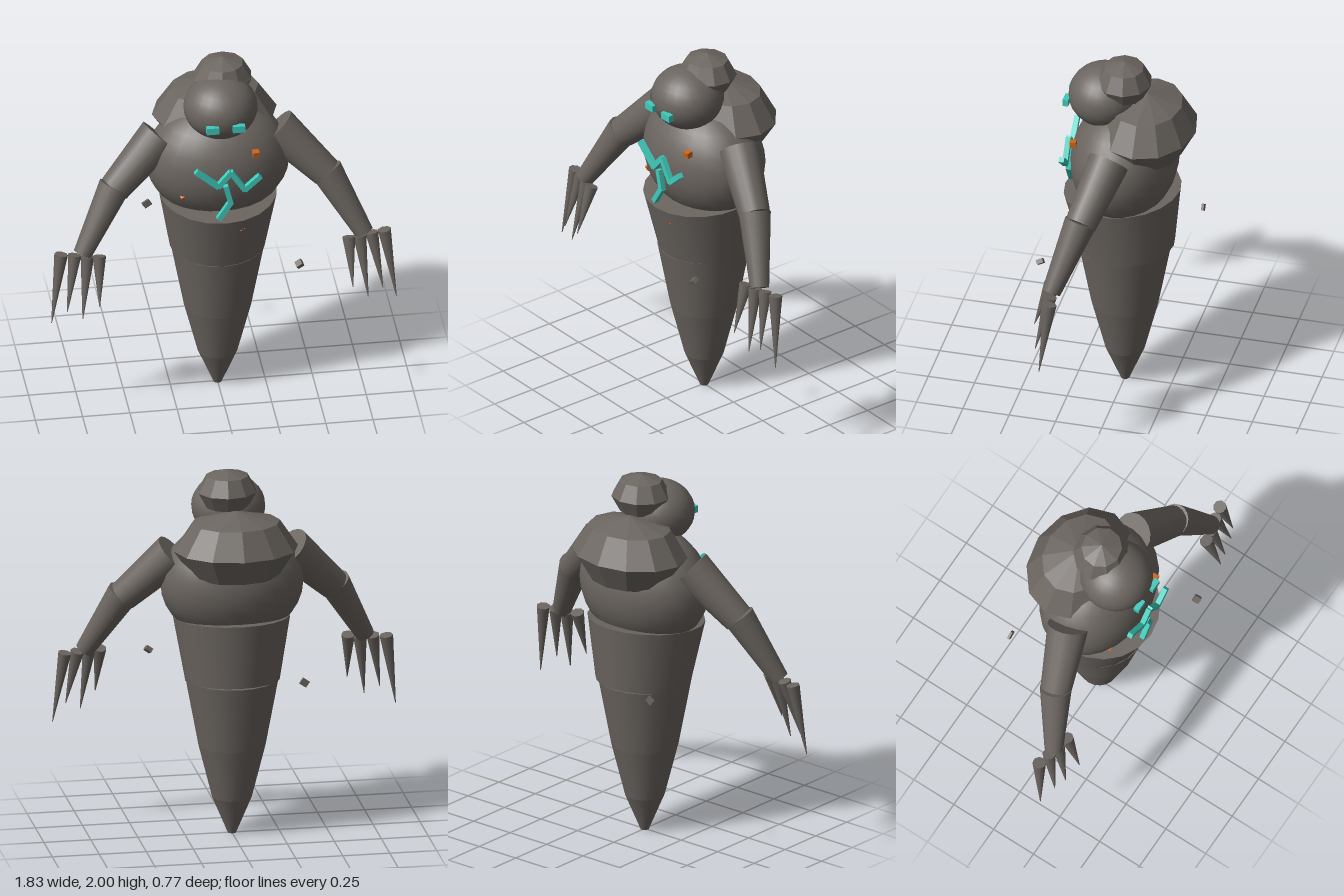
import * as THREE from 'three';

export function createModel() {
  const model = new THREE.Group();
  model.name = 'stoneSpirit';

  const mat = (name, color, flatShading = false) => {
    const m = new THREE.MeshStandardMaterial({ color, flatShading });
    m.name = name;
    return m;
  };
  const stone = mat('stone', 0x6b6560);
  const facetedStone = mat('facetedStone', 0x6b6560, true);
  const glow = mat('tealGlow', 0x40cbbb);
  const ember = mat('orangeEmber', 0xc8651f);

  const add = (parent, name, geometry, material, pos = [0, 0, 0], rot = [0, 0, 0]) => {
    const mesh = new THREE.Mesh(geometry, material);
    mesh.name = name;
    mesh.position.set(...pos);
    mesh.rotation.set(...rot);
    parent.add(mesh);
    return mesh;
  };

  // Ellipsoid with a chosen number of facets
  const blob = (name, pos, radii, segs, rings, material, rot) =>
    add(model, name, new THREE.SphereGeometry(1, segs, rings), material, pos, rot).scale.set(...radii);

  // Tapered limb from point a (radius ra) to point b (radius rb)
  const limb = (parent, name, a, b, ra, rb, segs) => {
    const A = new THREE.Vector3(...a), B = new THREE.Vector3(...b);
    const dir = B.clone().sub(A);
    const mesh = add(parent, name, new THREE.CylinderGeometry(rb, ra, dir.length(), segs), stone);
    mesh.position.copy(A).add(B).multiplyScalar(0.5);
    mesh.quaternion.setFromUnitVectors(new THREE.Vector3(0, 1, 0), dir.normalize());
    return mesh;
  };

  // Head, chest and boulders
  blob('chest', [0, 1.39, 0], [0.38, 0.325, 0.28], 24, 16, stone);
  blob('head', [0, 1.765, 0.11], [0.195, 0.168, 0.19], 24, 16, stone);
  blob('crownBoulder', [0.025, 1.88, 0], [0.16, 0.12, 0.15], 10, 4, facetedStone, [0, 0.2, 0]);
  blob('backBoulder', [0, 1.6, -0.12], [0.33, 0.205, 0.262], 12, 4, facetedStone);

  // Tilted waist block above a tapering tail
  add(model, 'waist', new THREE.CylinderGeometry(0.31, 0.25, 0.345, 20), stone, [0, 1.022, 0], [0.08, 0, 0]);
  const tail = new THREE.Group();
  tail.name = 'tail';
  model.add(tail);
  const rings = [[0, 0.022], [0.2, 0.105], [0.49, 0.178], [0.856, 0.246]];
  for (let i = 0; i < 3; i++) {
    const [y0, r0] = rings[i], [y1, r1] = rings[i + 1];
    add(tail, 'tailSegment' + (i + 1), new THREE.CylinderGeometry(r1, r0, y1 - y0, 20), stone, [0, (y0 + y1) / 2, 0]);
  }

  // Arms with four claws each: [base, tip]
  const claws = [
    [[0.66, 0.975, 0.235], [0.67, 0.715, 0.32]],
    [[0.72, 0.97, 0.22], [0.755, 0.63, 0.29]],
    [[0.785, 0.975, 0.205], [0.835, 0.67, 0.275]],
    [[0.855, 0.975, 0.19], [0.912, 0.585, 0.235]],
  ];
  for (const [side, s] of [['left', 1], ['right', -1]]) {
    const arm = new THREE.Group();
    arm.name = side + 'Arm';
    model.add(arm);
    const m = ([x, y, z]) => [s * x, y, z];
    limb(arm, 'upperArm', m([0.31, 1.55, 0.01]), m([0.56, 1.3, 0.1]), 0.11, 0.083, 16);
    limb(arm, 'forearm', m([0.56, 1.315, 0.1]), m([0.745, 0.98, 0.21]), 0.085, 0.05, 16);
    for (const [base, tip] of claws) limb(arm, 'claw', m(base), m(tip), 0.036, 0.002, 8);
  }

  // Eyes
  for (const s of [1, -1])
    add(model, s > 0 ? 'leftEye' : 'rightEye', new THREE.BoxGeometry(0.065, 0.038, 0.03), glow, [s * 0.069, 1.737, 0.298]);

  // Glowing cracks on the chest
  const cracks = [
    [[-0.155, 1.487], [-0.04, 1.388], [0.028, 1.47], [0.1, 1.358], [0.18, 1.432]],
    [[0, 1.385], [0.025, 1.285], [-0.035, 1.19]],
  ];
  for (const path of cracks) {
    for (let i = 1; i < path.length; i++) {
      const [x0, y0] = path[i - 1], [x1, y1] = path[i];
      const length = Math.hypot(x1 - x0, y1 - y0) + 0.008;
      add(model, 'chestCrack', new THREE.BoxGeometry(length, 0.028, 0.028), glow,
        [(x0 + x1) / 2, (y0 + y1) / 2, 0.298], [0, 0, Math.atan2(y1 - y0, x1 - x0)]);
    }
  }

  // Embers lodged in the stone
  add(model, 'ember', new THREE.BoxGeometry(0.034, 0.032, 0.034), ember, [0.168, 1.535, 0.238], [0.1, 0.1, 0]);
  add(model, 'ember', new THREE.BoxGeometry(0.03, 0.03, 0.03), ember, [-0.21, 1.277, 0.197], [0.4, 0.3, 0.3]);
  add(model, 'ember', new THREE.BoxGeometry(0.03, 0.03, 0.03), ember, [0.09, 1.1, 0.272], [0.5, 0.4, 0.3]);

  // Floating stone shards
  add(model, 'rearShard', new THREE.BoxGeometry(0.042, 0.036, 0.013), stone, [-0.325, 0.912, -0.34], [0, 0, 0.6]);
  add(model, 'frontShard', new THREE.BoxGeometry(0.036, 0.024, 0.036), stone, [0.38, 0.912, 0.362], [0.4, 0.2, 0.6]);

  return model;
}
